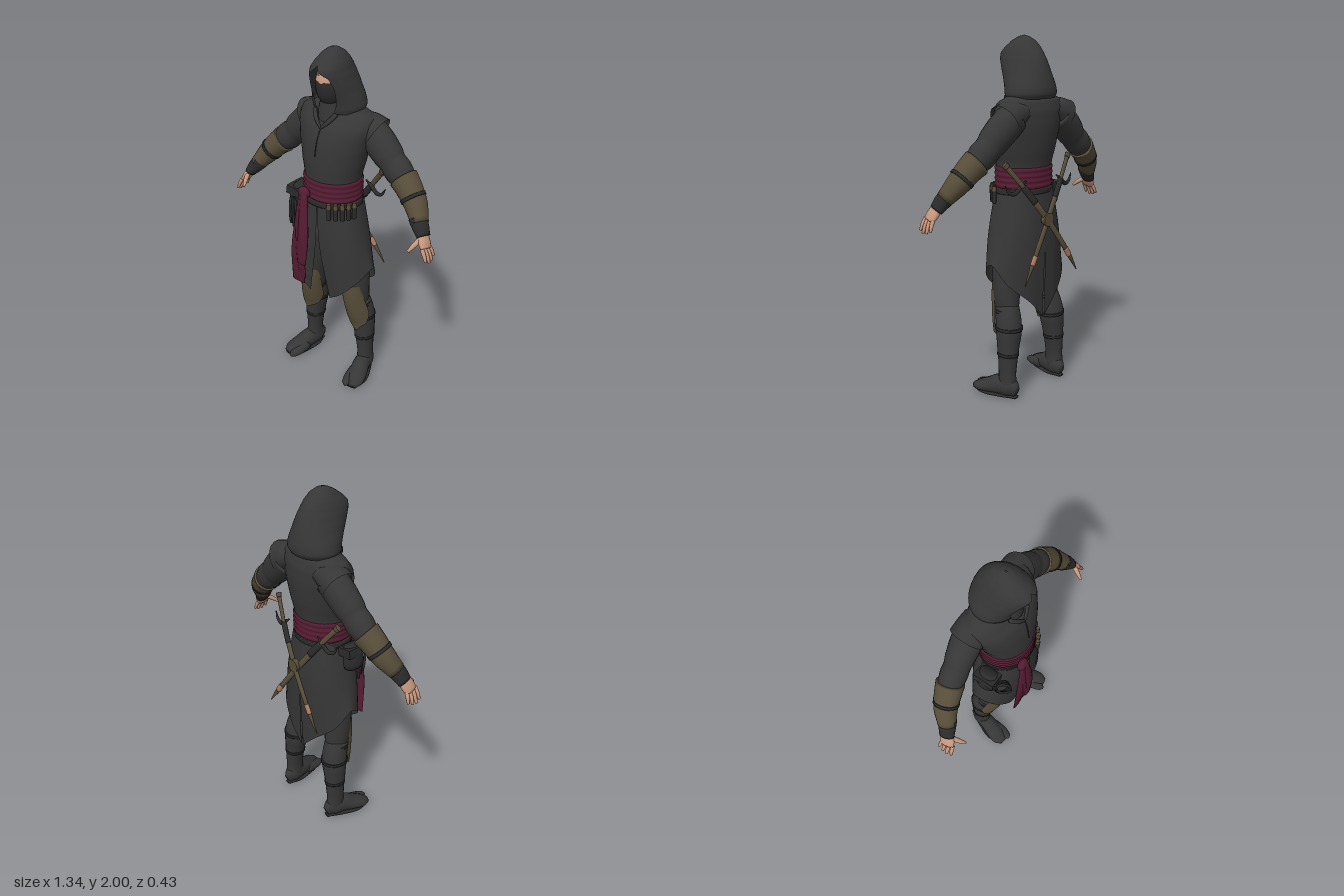
import * as THREE from 'three';

const mat = (name, color) => new THREE.MeshStandardMaterial({ name, color, side: THREE.DoubleSide });
const V = (x, y, z) => new THREE.Vector3(x, y, z);

// Grid surface through rows of points
function surface(rows, wrap) {
  const n = rows[0].length, pos = [], idx = [];
  rows.forEach(r => r.forEach(p => pos.push(p.x, p.y, p.z)));
  for (let i = 0; i < rows.length - 1; i++) {
    for (let j = 0; j < (wrap ? n : n - 1); j++) {
      const a = i * n + j, b = i * n + (j + 1) % n, c = a + n, d = b + n;
      idx.push(a, b, d, a, d, c);
    }
  }
  const g = new THREE.BufferGeometry();
  g.setAttribute('position', new THREE.Float32BufferAttribute(pos, 3));
  g.setIndex(idx);
  g.computeVertexNormals();
  return g;
}

// Loft of ellipses along points [x, y, z, side radius, front radius, opening angle]
function loft(pts, { n = 20, per = 4, up = false, ref = V(0, 0, 1), turn = 0, cap = true } = {}) {
  const path = new THREE.CatmullRomCurve3(pts.map(p => V(p[0], p[1], p[2])));
  const size = new THREE.CatmullRomCurve3(pts.map(p => V(p[3], p[4], p[5] || 0)), false, 'catmullrom', 0.3);
  const open = pts[0].length > 5, steps = (pts.length - 1) * per, rows = [];
  for (let i = 0; i <= steps; i++) {
    const c = path.getPoint(i / steps), s = size.getPoint(i / steps);
    const t = up ? V(0, 1, 0) : path.getTangent(i / steps);
    const u = t.clone().cross(ref).normalize(), v = u.clone().cross(t);
    const o = open ? Math.max(0, s.z) : 0, row = [];
    for (let j = 0; j < n; j++) {
      const a = turn + o + (2 * Math.PI - 2 * o) * j / (open ? n - 1 : n);
      row.push(c.clone().addScaledVector(u, s.x * Math.sin(a)).addScaledVector(v, s.y * Math.cos(a)));
    }
    if (cap && !open && i === 0) rows.push(row.map(() => c.clone()));
    rows.push(row);
    if (cap && !open && i === steps) rows.push(row.map(() => c.clone()));
  }
  return surface(rows, !open);
}

export function createModel() {
  const root = new THREE.Group();
  root.name = 'hoodedFigure';
  const cloth = mat('charcoal cloth', 0x363636), dark = mat('dark leather', 0x2b2b2c);
  const brown = mat('brown leather', 0x574d39), wine = mat('wine sash', 0x551c31);
  const skin = mat('skin', 0xc9987d), copper = mat('copper', 0xb07c5e);

  const add = (name, geo, m, parent = root) => {
    const mesh = new THREE.Mesh(geo, m);
    mesh.name = name;
    parent.add(mesh);
    return mesh;
  };
  // Horizontal rings [y, half width, front z, back z, opening angle]
  const rings = list => list.map(([y, rx, zf, zb, o]) => {
    const p = [0, y, (zf + zb) / 2, rx, (zf - zb) / 2];
    return o === undefined ? p : [...p, o];
  });

  // Tunic body
  add('tunic', loft(rings([[1.18, .16, .14, -.13], [1.31, .163, .148, -.14], [1.42, .187, .147, -.16],
    [1.52, .21, .136, -.17], [1.6, .228, .11, -.167], [1.655, .222, .065, -.152], [1.685, .16, .04, -.13],
    [1.7, .08, .02, -.1]]), { up: true, n: 36 }), cloth);
  add('chestSeam', loft([[0, 1.61, .106, .003, .003], [-.008, 1.53, .134, .003, .003], [-.012, 1.45, .147, .003, .003]], { n: 6 }), dark);

  // Head, mask and eye strip
  const head = new THREE.Group();
  head.name = 'head';
  head.position.set(0, 1.815, .02);
  root.add(head);
  const facePart = (name, r, m, a, w, t, h) =>
    add(name, new THREE.SphereGeometry(r, 24, 16, a, w, t, h).scale(.78, 1.2, .88), m, head);
  facePart('mask', .1, dark, 0, Math.PI * 2, 0, Math.PI);
  facePart('eyeStrip', .102, skin, .95, 1.25, 1.12, .23);
  facePart('browBand', .103, brown, .8, 1.2, .96, .17);
  facePart('noseBridge', .104, skin, 1.4, .34, 1.0, .4);
  add('neckScarf', loft(rings([[1.62, .08, .09, -.1], [1.68, .08, .085, -.1], [1.74, .06, .08, -.08]]), { up: true }), cloth);

  // Hood, open at the face
  add('hood', loft(rings([[1.675, .14, .075, -.165, .3], [1.7, .15, .08, -.178, .42], [1.74, .143, .09, -.176, .52],
    [1.81, .12, .125, -.16, .68], [1.87, .102, .15, -.14, .65], [1.905, .09, .152, -.122, .25], [1.93, .08, .13, -.105, 0],
    [1.965, .058, .085, -.075, 0], [1.99, .03, .04, -.035, 0], [2, .003, .005, -.005, 0]]), { up: true, n: 41 }), cloth);

  // Wrapped sash with soft folds
  const folds = [];
  for (let i = 0; i <= 8; i++) {
    const b = i % 2 * .006;
    folds.push([1.195 + i * .0145, .166 + b, .15 + b, -.14 - b]);
  }
  add('sash', loft(rings(folds), { up: true, n: 36, per: 2 }), wine);
  const knot = add('sashKnot', new THREE.SphereGeometry(.035, 14, 10), wine);
  knot.position.set(-.08, 1.225, .16);
  knot.scale.set(1.1, 1, .7);
  const tails = [
    [[-.08, 1.23, .165, .025, .014], [-.095, 1.08, .175, .035, .016], [-.115, .85, .18, .05, .016], [-.125, .64, .17, .045, .008]],
    [[-.07, 1.23, .17, .02, .014], [-.065, 1.1, .185, .03, .016], [-.065, .95, .195, .035, .018], [-.075, .79, .2, .03, .01]],
    [[-.09, 1.22, .165, .015, .012], [-.1, 1.0, .185, .02, .016], [-.09, .8, .188, .025, .014], [-.085, .68, .175, .02, .006]]];
  tails.forEach(t => add('sashTail', loft(t, { n: 12 }), wine));
  add('belt', loft(rings([[1.165, .176, .156, -.142], [1.195, .174, .155, -.142]]), { up: true, n: 36 }), dark);

  for (const s of [1, -1]) {
    const side = new THREE.Group();
    side.name = s > 0 ? 'leftSide' : 'rightSide';
    root.add(side);
    const part = (name, pts, m, opt) => add(name, loft(pts.map(p => [p[0] * s, ...p.slice(1)]), opt), m, side);

    // Skirt half: waist, hip and pointed hem lines from front to back
    const line = pts => new THREE.CatmullRomCurve3(pts.map(p => V(p[0] * s, p[1], p[2])));
    const edges = [
      line([[0, 1.2, .148], [.07, 1.2, .136], [.14, 1.2, .08], [.165, 1.2, 0], [.14, 1.2, -.08], [.07, 1.2, -.125], [0, 1.2, -.135]]),
      line([[.012, .93, .15], [.1, .93, .145], [.195, .93, .09], [.222, .93, 0], [.19, .93, -.09], [.1, .93, -.145], [0, .93, -.158]]),
      line([[.07, .575, .13], [.15, .635, .13], [.235, .73, .07], [.265, .785, -.01], [.225, .68, -.09], [.11, .57, -.145], [.008, .46, -.15]])];
    const cols = [];
    for (let i = 0; i <= 30; i++) cols.push(new THREE.CatmullRomCurve3(edges.map(e => e.getPoint(i / 30))).getPoints(10));
    add('skirtHalf', surface(cols, false), cloth, side);

    // Collar edge and shoulder cap
    part('collar', [[.07, 1.68, .07, .012, .01], [.04, 1.64, .095, .012, .01], [0, 1.6, .11, .006, .006]], cloth, { n: 8 });
    part('shoulderCap', [[.12, 1.61, -.07, .06, .085], [.18, 1.59, -.075, .083, .088], [.225, 1.565, -.078, .097, .09]], cloth, { cap: false });

    // Sleeve, bracer and wrist wrap
    part('sleeve', [[.17, 1.58, -.078, .085, .085], [.24, 1.525, -.075, .09, .08], [.3, 1.47, -.07, .085, .074],
      [.33, 1.44, -.067, .076, .068], [.37, 1.405, -.063, .079, .07], [.41, 1.37, -.058, .068, .064], [.48, 1.295, -.035, .055, .055]], cloth);
    part('bracer', [[.405, 1.375, -.06, .078, .075], [.44, 1.345, -.05, .071, .072], [.5, 1.28, -.03, .062, .064], [.56, 1.2, .012, .044, .05]], brown);
    part('bracerStrap', [[.478, 1.305, -.038, .069, .07], [.49, 1.292, -.034, .068, .069]], dark);
    part('wristWrap', [[.54, 1.22, .005, .046, .05], [.57, 1.185, .02, .042, .046], [.6, 1.145, .035, .03, .042]], dark);

    // Hand
    part('palm', [[.59, 1.16, .03, .024, .034], [.612, 1.125, .045, .022, .042], [.63, 1.095, .055, .016, .04]], skin, { n: 14 });
    for (let i = 0; i < 4; i++) {
      const z = .024 + .021 * i, k = [.8, .97, 1, .85][i], tip = .015 + .026 * i;
      part('finger', [[.625, 1.105, z, .011, .011], [.625 + .022 * k, 1.105 - .038 * k, (z + tip) / 2, .0105, .0105],
        [.625 + .037 * k, 1.105 - .075 * k, tip, .007, .007]], skin, { n: 8, per: 3 });
    }
    part('thumb', [[.6, 1.145, .055, .015, .015], [.583, 1.115, .1, .013, .013], [.57, 1.09, .13, .007, .007]], skin, { n: 8, ref: V(0, 1, 0) });

    // Trousers, boot and knee guard
    part('trouserLeg', [[.1, .98, 0, .085, .1], [.135, .75, -.01, .085, .095], [.155, .62, -.012, .074, .083], [.162, .5, -.025, .06, .07]], cloth);
    part('boot', [[.163, .53, -.022, .064, .072], [.172, .45, -.045, .072, .073], [.178, .39, -.053, .073, .073], [.188, .29, -.056, .06, .064],
      [.194, .2, -.058, .048, .058], [.197, .14, -.058, .044, .055], [.197, .06, -.06, .046, .058]], cloth);
    [[.165, .515, -.025, .068], [.174, .42, -.05, .077], [.189, .27, -.057, .06]].forEach(([x, y, z, r]) =>
      part('bootStrap', [[x, y, z, r, r + .004], [x + .001, y - .018, z, r, r + .004]], dark));
    part('kneeGuard', [[.15, .665, 0, .072, .08, 2.1], [.157, .57, -.004, .071, .083, 1.75],
      [.17, .46, -.03, .079, .086, 1.75], [.178, .4, -.045, .08, .083, 2.2], [.186, .345, -.05, .073, .078, 3.05]], brown, { turn: Math.PI });

    // Split-toe foot
    const flat = { ref: V(0, 1, 0), n: 16 };
    part('foot', [[.19, .04, -.124, .02, .035], [.195, .06, -.08, .046, .06], [.208, .06, -.01, .05, .06], [.23, .042, .06, .055, .042],
      [.247, .03, .11, .05, .03], [.255, .02, .15, .025, .018]], cloth, flat);
    part('bigToe', [[.2, .04, .04, .04, .036], [.198, .03, .1, .032, .028], [.21, .024, .15, .026, .02], [.215, .02, .17, .008, .01]], cloth, flat);
    part('sole', [[.19, .008, -.122, .02, .008], [.2, .008, -.04, .05, .008], [.228, .008, .06, .06, .008], [.235, .008, .15, .04, .008]], dark, flat);

    // Sheathed short sword crossing the back
    const sword = new THREE.QuadraticBezierCurve3(V(.25, 1.35, -.1), V(0, 1.03, -.205 - .015 * s), V(-.21, .7, -.21));
    const piece = (name, f0, f1, r0, r1, m) => part(name, [0, .5, 1].map(k => {
      const p = sword.getPoint(f0 + (f1 - f0) * k), r = r0 + (r1 - r0) * k;
      return [p.x, p.y, p.z, r, r * .65];
    }), m, { n: 10 });
    piece('swordPommel', 0, .03, .021, .018, brown);
    piece('swordHandle', .03, .2, .015, .014, brown);
    piece('scabbardThroat', .2, .34, .02, .02, dark);
    piece('scabbard', .34, .78, .018, .016, brown);
    piece('scabbardBand', .78, .85, .018, .017, copper);
    piece('scabbardTip', .85, 1, .015, .003, brown);
    part('swordGuard', [[.12, 1.25, -.13, .004, .004], [.16, 1.22, -.13, .012, .01], [.2, 1.19, -.125, .012, .01],
      [.235, 1.2, -.12, .009, .008], [.26, 1.24, -.115, .003, .003]], dark, { n: 8 });
  }
  const boss = add('swordBoss', new THREE.CylinderGeometry(.034, .038, .03, 18), brown);
  boss.rotation.x = Math.PI / 2;
  boss.position.set(.01, 1.03, -.185);

  // Row of vials on the left hip
  for (let i = 0; i < 5; i++) {
    const a = .45 + i * .2, vial = new THREE.Group();
    vial.name = 'vial';
    vial.position.set(.19 * Math.sin(a), 1.145, .168 * Math.cos(a));
    root.add(vial);
    add('vialBody', new THREE.CylinderGeometry(.013, .012, .07, 10), dark, vial);
    add('vialCap', new THREE.CylinderGeometry(.011, .014, .026, 10), brown, vial).position.y = .046;
  }

  // Pouch and coiled rope on the right hip
  const pouch = add('pouch', loft([[-.225, 1.05, .03, .035, .055], [-.228, 1.08, .03, .045, .065], [-.222, 1.15, .03, .042, .06], [-.2, 1.19, .03, .03, .05]], { n: 14 }), dark);
  const flap = add('pouchFlap', new THREE.BoxGeometry(.09, .05, .125), dark);
  flap.position.set(-.222, 1.155, .03);
  flap.rotation.z = -.15;
  for (let i = 0; i < 3; i++) {
    const coil = add('ropeCoil', new THREE.TorusGeometry(.05, .007, 8, 24), dark);
    coil.scale.set(.8, 1.9 - i * .2, 1);
    coil.position.set(-.195 - i * .006, 1.03 + i * .015, .105 + i * .01);
    coil.rotation.y = -.75 - i * .12;
  }
  return root;
}
